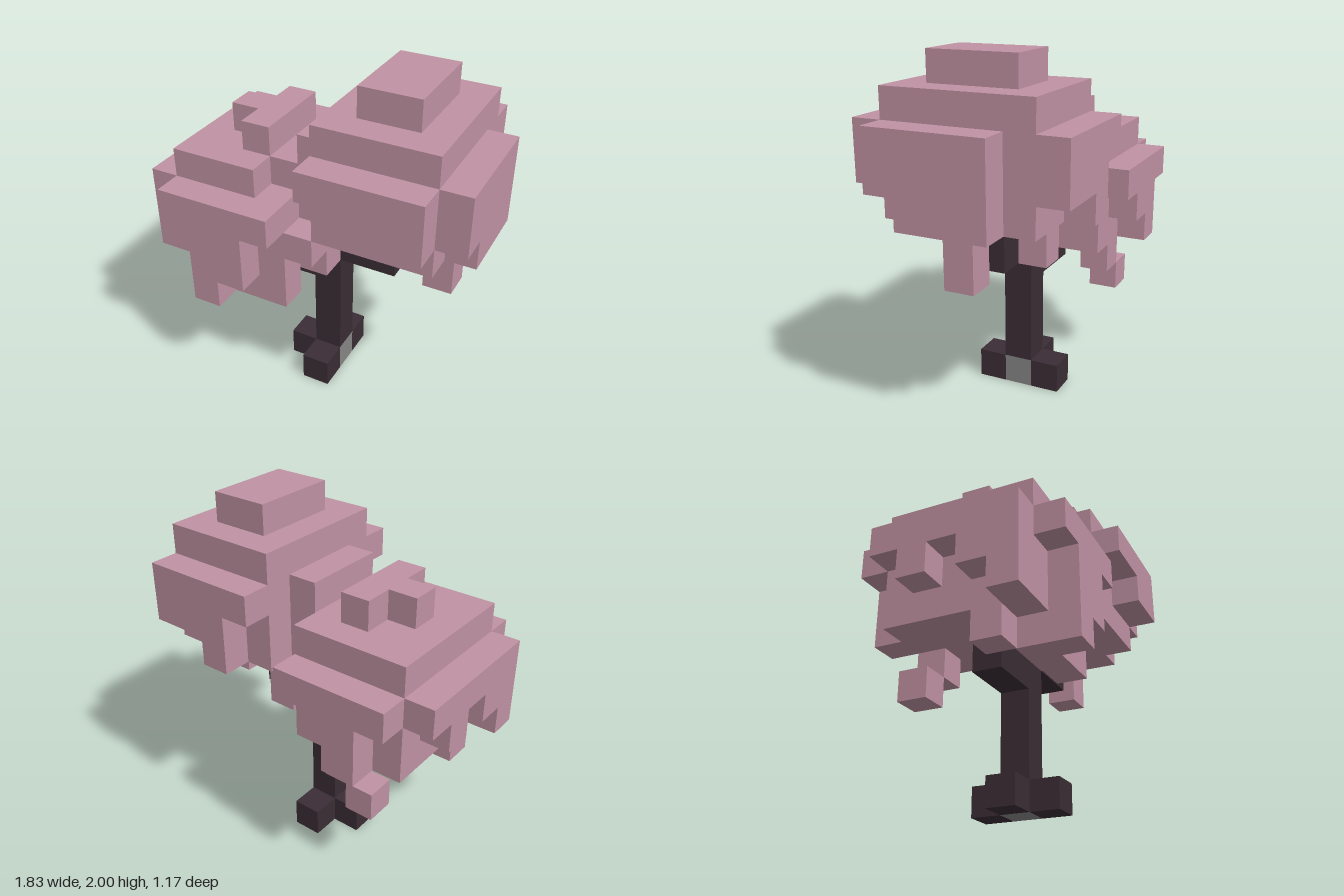
import * as THREE from 'three';

const U = 1 / 6; // edge of one block

export function createModel() {
  const model = new THREE.Group();
  model.name = 'blockTree';

  const mat = (name, color) => {
    const m = new THREE.MeshStandardMaterial({ color });
    m.name = name;
    return m;
  };
  const blossom = mat('blossomPink', 0xc092a3);
  const bark = mat('darkBark', 0x3b2d35);
  const stone = mat('stoneGrey', 0x868686);

  const group = (name) => {
    const g = new THREE.Group();
    g.name = name;
    model.add(g);
    return g;
  };

  // Solid run of blocks; ranges are inclusive block indices [from, to]
  const blocks = (parent, name, material, [x0, x1], [y0, y1], [z0, z1]) => {
    const geo = new THREE.BoxGeometry((x1 - x0 + 1) * U, (y1 - y0 + 1) * U, (z1 - z0 + 1) * U);
    const mesh = new THREE.Mesh(geo, material);
    mesh.name = name;
    mesh.position.set((x0 + x1) / 2 * U, (y0 + y1 + 1) / 2 * U, (z0 + z1) / 2 * U);
    parent.add(mesh);
  };

  // Trunk, roots and branches
  const wood = group('trunk');
  blocks(wood, 'trunkBase', stone, [0, 0], [0, 0], [0, 0]);
  blocks(wood, 'trunkStem', bark, [0, 0], [1, 6], [0, 0]);
  for (const z of [-1, 1]) blocks(wood, 'sideRoot', bark, [0, 0], [0, 0], [z, z]);
  blocks(wood, 'rightRoot', bark, [-1, -1], [0, 0], [0, 0]);
  blocks(wood, 'leftBranch', bark, [1, 2], [5, 5], [0, 0]);
  blocks(wood, 'leftBranchTip', bark, [2, 2], [6, 6], [0, 0]);
  blocks(wood, 'rightBranch', bark, [-2, -1], [4, 4], [0, 0]);

  // Ragged skirt along x: each column hangs from the top down to its own lowest block
  const skirtX = (parent, name, x0, z, top, lows) => lows.forEach((low, n) =>
    blocks(parent, name, blossom, [x0 + n, x0 + n], [low, top], [z, z]));
  // Ragged skirt along z
  const skirtZ = (parent, name, x, z0, top, lows) => lows.forEach((low, n) =>
    blocks(parent, name, blossom, [x, x], [low, top], [z0 + n, z0 + n]));

  // Tall crown on the left
  const tall = group('tallCrown');
  blocks(tall, 'crownBody', blossom, [1, 4], [7, 9], [-2, 2]);
  blocks(tall, 'crownShoulder', blossom, [1, 4], [10, 10], [-2, 2]);
  blocks(tall, 'crownCap', blossom, [2, 3], [11, 11], [-1, 1]);
  skirtX(tall, 'frontSkirt', 1, 3, 9, [9, 9, 8, 8]);
  skirtX(tall, 'backSkirt', 1, -3, 9, [9, 7, 8, 8]);
  skirtZ(tall, 'leftSkirt', 5, -1, 9, [7, 7, 7, 8]);
  blocks(tall, 'hangingBlossom', blossom, [4, 4], [5, 6], [0, 0]);
  blocks(tall, 'hangingBlossom', blossom, [1, 1], [5, 6], [-1, -1]);

  // Blossom joining the two crowns
  const bridge = group('crownBridge');
  blocks(bridge, 'bridgeBody', blossom, [0, 0], [7, 9], [-1, 1]);
  blocks(bridge, 'bridgeDrop', blossom, [0, 0], [5, 6], [1, 1]);
  blocks(bridge, 'bridgeTuft', blossom, [0, 0], [6, 6], [2, 2]);

  // Low crown on the right
  const low = group('lowCrown');
  blocks(low, 'crownBody', blossom, [-4, -1], [5, 7], [-2, 2]);
  blocks(low, 'crownShoulder', blossom, [-4, -1], [8, 8], [-2, 1]);
  blocks(low, 'crownShoulderFront', blossom, [-4, -2], [8, 8], [2, 2]);
  blocks(low, 'crownCap', blossom, [-2, -2], [9, 9], [-1, 1]);
  blocks(low, 'crownCapTuft', blossom, [-3, -3], [9, 9], [0, 0]);
  skirtX(low, 'frontSkirt', -4, 3, 7, [7, 4, 5, 7]);
  skirtX(low, 'backSkirt', -4, -3, 7, [7, 5, 6, 7]);
  skirtZ(low, 'rightSkirt', -5, -2, 7, [7, 6, 7, 6, 5]);
  blocks(low, 'underside', blossom, [-3, -1], [4, 4], [2, 2]);
  blocks(low, 'hangingBlossom', blossom, [-4, -4], [4, 4], [1, 1]);
  blocks(low, 'hangingBlossom', blossom, [-2, -2], [4, 4], [-2, -2]);
  blocks(low, 'hangingBlossom', blossom, [-3, -3], [3, 3], [-2, -2]);

  return model;
}
